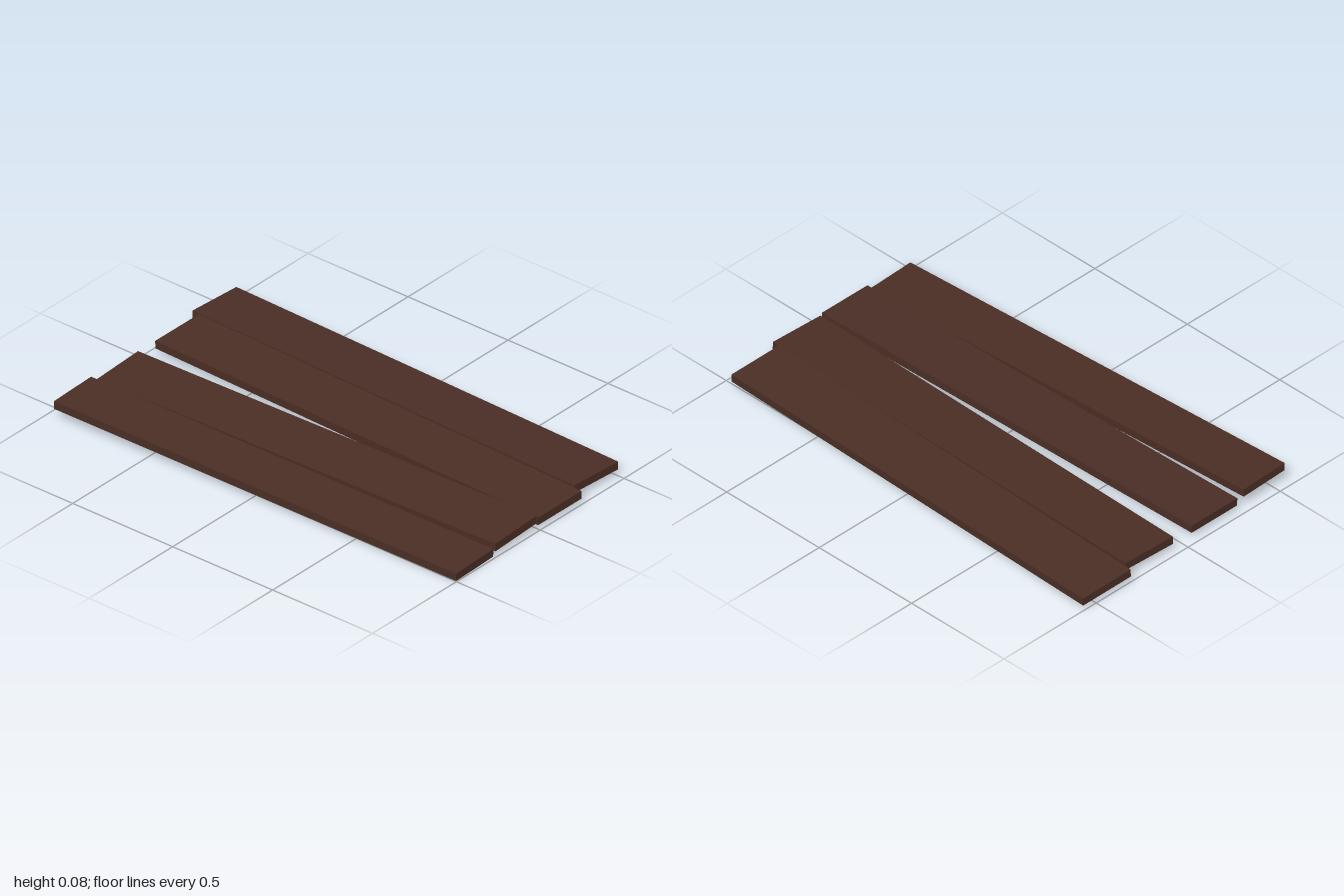
import * as THREE from 'three';

// Each plank: centre, width, and small pitch / yaw / roll offsets
const PLANKS = [
  { name: 'backPlank', pos: [-0.02, 0.042, -0.412], width: 0.252, roll: -0.034, yaw: -0.028, pitch: 0 },
  { name: 'midBackPlank', pos: [0.013, 0.0415, -0.152], width: 0.252, roll: 0.02, yaw: -0.0255, pitch: -0.0045 },
  { name: 'midFrontPlank', pos: [0.011, 0.041, 0.154], width: 0.253, roll: 0.027, yaw: 0.0225, pitch: 0 },
  { name: 'frontPlank', pos: [0.015, 0.04, 0.416], width: 0.231, roll: 0, yaw: 0.035, pitch: -0.023 },
];
const LENGTH = 1.957;
const THICKNESS = 0.034;

// Hollow board: a box without its underside
function boardGeometry(width) {
  const geometry = new THREE.BoxGeometry(LENGTH, THICKNESS, width);
  const index = Array.from(geometry.index.array);
  index.splice(18, 6); // drop the two bottom triangles
  geometry.setIndex(index);
  geometry.clearGroups();
  return geometry;
}

export function createModel() {
  const model = new THREE.Group();
  model.name = 'planks';

  const darkWood = new THREE.MeshStandardMaterial({ color: 0x4a2e25, side: THREE.DoubleSide });
  darkWood.name = 'darkWood';

  for (const { name, pos, width, roll, yaw, pitch } of PLANKS) {
    const plank = new THREE.Mesh(boardGeometry(width), darkWood);
    plank.name = name;
    plank.position.set(...pos);
    plank.rotation.set(roll, yaw, pitch);
    model.add(plank);
  }
  return model;
}
